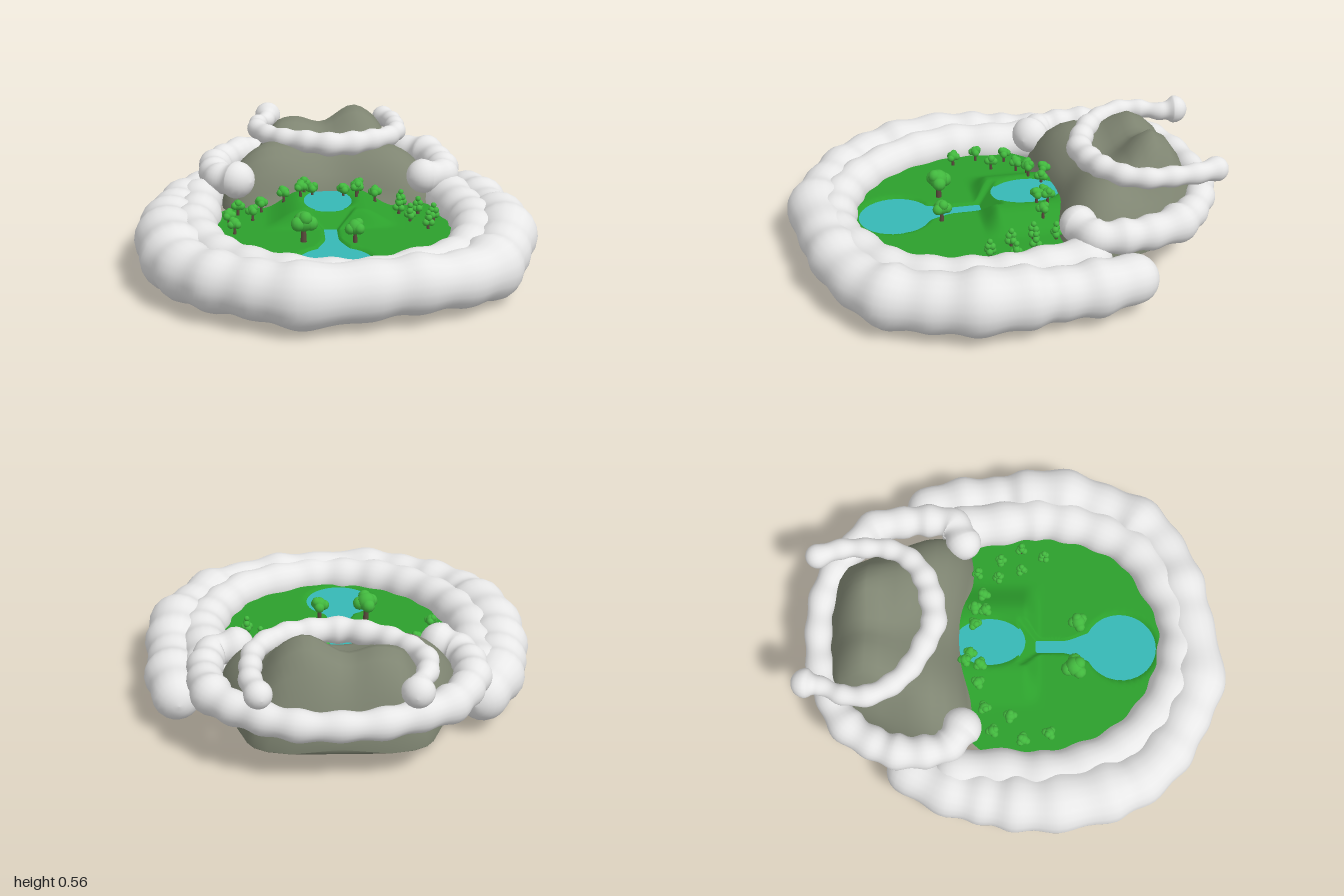
import * as THREE from 'three';

const material = (name, color, side = THREE.FrontSide) => {
  const m = new THREE.MeshStandardMaterial({ color, side });
  m.name = name;
  return m;
};
const smooth = THREE.MathUtils.smoothstep;

// Skin over a list of closed loops that all have the same number of points
function loft(loops) {
  const n = loops[0].length, index = [];
  for (let i = 0; i < loops.length - 1; i++) {
    for (let j = 0; j < n; j++) {
      const a = i * n + j, b = i * n + (j + 1) % n;
      index.push(a, b, a + n, b, b + n, a + n);
    }
  }
  const g = new THREE.BufferGeometry().setFromPoints(loops.flat());
  g.setIndex(index);
  g.computeVertexNormals();
  return g;
}

// Lumpy cloud: a tube that swells at each [x, y, z, radius] and has round ends
function cloudGeometry(knots, dip) {
  const path = new THREE.CatmullRomCurve3(knots.map(k => new THREE.Vector3(k[0], k[1], k[2])));
  const sizes = new THREE.CatmullRomCurve3(knots.map(k => new THREE.Vector3(k[3], 0, 0)), false, 'catmullrom');
  const spans = knots.length - 1, steps = spans * 8, up = new THREE.Vector3(0, 1, 0), loops = [];
  const ring = (t, squeeze, shift) => {
    const tangent = path.getTangent(t).setY(0).normalize();
    const side = up.clone().cross(tangent);
    const full = sizes.getPoint(t).x, r = full * squeeze;
    const c = path.getPoint(t).addScaledVector(tangent, shift * full);
    const loop = [];
    for (let j = 0; j < 20; j++) {
      const a = j / 20 * Math.PI * 2;
      loop.push(c.clone().addScaledVector(side, r * Math.cos(a)).addScaledVector(up, r * Math.sin(a)));
    }
    loops.push(loop);
  };
  for (let i = 0; i < 6; i++) ring(0, Math.sin(i * Math.PI / 12) + 1e-3, -Math.cos(i * Math.PI / 12));
  for (let i = 0; i <= steps; i++) ring(i / steps, 1 - dip * Math.sin(i / 8 * Math.PI) ** 2, 0);
  for (let i = 5; i >= 0; i--) ring(1, Math.sin(i * Math.PI / 12) + 1e-3, Math.cos(i * Math.PI / 12));
  return loft(loops);
}

// Ponds and ground height: a low meadow with a central rise that holds the upper pond
const LOW = 0.155, HIGH = 0.225;
const ellipse = (x, z, cx, cz, rx, rz) => (Math.hypot((x - cx) / rx, (z - cz) / rz) - 1) * Math.min(rx, rz);
function groundHeight(x, z) {
  const rise = (1 - smooth(Math.abs(x + 0.01), 0.14, 0.32)) * (1 - smooth(z, 0.04, 0.13));
  const ground = 0.165 + 0.07 * rise;
  const upper = ellipse(x, z, -0.02, -0.12, 0.115, 0.165);
  const pond = ellipse(x, z, -0.02, 0.505, 0.165, 0.17);
  const streamHalf = 0.03 + 0.05 * smooth(z, 0.22, 0.4);
  const stream = Math.max(Math.abs(x + 0.02) - streamHalf, 0.1 - z, z - 0.5);
  const lower = Math.min(pond, stream);
  return Math.min(ground, HIGH + Math.max(upper, -0.08) * 0.7, LOW + Math.max(lower, -0.09) * 0.9);
}

function terrainGeometry() {
  const g = new THREE.RingGeometry(0.001, 1, 120, 60).rotateX(-Math.PI / 2);
  const p = g.attributes.position;
  for (let i = 0; i < p.count; i++) {
    const x = p.getX(i) * 0.66, z = p.getZ(i) * 0.6 + 0.2;
    p.setXYZ(i, x, groundHeight(x, z), z);
  }
  g.computeVertexNormals();
  return g;
}

// Two-tiered mountain from cross-sections: [z, half width, height, upper-peak share]
function mountainGeometry() {
  const floor = 0.13, n = 36;
  const rows = [
    [-0.19, 0.38, 0.18, 0], [-0.21, 0.45, 0.25, 0], [-0.25, 0.50, 0.33, 0], [-0.31, 0.53, 0.385, 0],
    [-0.37, 0.535, 0.42, 0], [-0.43, 0.525, 0.435, 0], [-0.49, 0.505, 0.435, 0.1], [-0.55, 0.485, 0.46, 0.5],
    [-0.61, 0.46, 0.50, 0.9], [-0.67, 0.435, 0.52, 1], [-0.73, 0.41, 0.495, 0.9], [-0.79, 0.385, 0.44, 0.5],
    [-0.83, 0.355, 0.36, 0.2], [-0.86, 0.3, 0.28, 0], [-0.88, 0.2, 0.2, 0]
  ];
  const bump = (x, c, w) => Math.exp(-(((x - c) / w) ** 2));
  const loops = rows.map(([z, w, h, peak]) => {
    const loop = [];
    for (let j = 0; j <= n; j++) {
      const u = -Math.cos(j / n * Math.PI), x = u * w;
      const lowShape = 0.025 * bump(x, -0.33, 0.14) + 0.01 * bump(x, 0.36, 0.12) - 0.05 * bump(x, 0, 0.17);
      const highShape = 0.05 * bump(x, 0.15, 0.1) - 0.045 * bump(x, -0.03, 0.09) - 0.1 * smooth(Math.abs(x), 0.24, 0.38);
      const dome = Math.pow(Math.max(0, 1 - Math.abs(u) ** 3.5), 0.55);
      const amount = smooth(h, 0.2, 0.4);
      const y = floor + (h - floor + amount * (lowShape * (1 - peak) + highShape * peak)) * dome;
      const front = 0.06 * bump(x, 0, 0.25) * (1 - smooth(-z, 0.21, 0.45));
      loop.push(new THREE.Vector3(x, Math.max(y, floor + 0.002), z - front));
    }
    for (let j = n - 1; j > 0; j--) loop.push(new THREE.Vector3(-Math.cos(j / n * Math.PI) * w, floor, z));
    return loop;
  });
  // Close both ends
  const close = (loop, y) => loop.map(v => new THREE.Vector3(v.x * 0.02, y, v.z));
  return loft([close(loops[0], 0.15), ...loops, close(loops.at(-1), 0.15)]);
}

export function createModel() {
  const model = new THREE.Group();
  model.name = 'cloudIsland';
  const white = material('cloud white', 0xececec);
  const grass = material('grass green', 0x2ca02c, THREE.DoubleSide);
  const rock = material('mountain olive', 0x7f8572, THREE.DoubleSide);
  const water = material('water teal', 0x36b8b6, THREE.DoubleSide);
  const leaf = material('leaf green', 0x42b83e);
  const bark = material('bark brown', 0x5a4a3c);
  const add = (name, geometry, mat, parent = model) => {
    const m = new THREE.Mesh(geometry, mat);
    m.name = name;
    parent.add(m);
    return m;
  };

  // Land, water and mountain
  add('meadow', terrainGeometry(), grass);
  const pond = (name, z, y, rx, rz) => {
    const g = new THREE.CircleGeometry(1, 48).rotateX(-Math.PI / 2).scale(rx, 1, rz);
    add(name, g, water).position.set(-0.02, y, z);
  };
  pond('lowerPond', 0.43, LOW, 0.35, 0.35);
  pond('upperPond', -0.12, HIGH, 0.13, 0.17);
  add('mountain', mountainGeometry(), rock);

  // Main cloud ring, open at the back: a thick outer roll and a thinner inner roll
  add('outerCloud', cloudGeometry([
    [0.71, 0.155, -0.43, 0.11], [0.745, 0.155, -0.26, 0.13], [0.76, 0.155, -0.1, 0.12], [0.77, 0.165, 0.04, 0.14],
    [0.765, 0.165, 0.25, 0.15], [0.71, 0.15, 0.43, 0.135], [0.63, 0.15, 0.6, 0.145], [0.49, 0.15, 0.72, 0.125],
    [0.3, 0.165, 0.795, 0.13], [0.1, 0.155, 0.83, 0.13], [-0.18, 0.15, 0.855, 0.145], [-0.36, 0.155, 0.79, 0.13],
    [-0.52, 0.155, 0.7, 0.135], [-0.65, 0.15, 0.57, 0.135], [-0.71, 0.155, 0.42, 0.155], [-0.76, 0.16, 0.19, 0.152],
    [-0.76, 0.155, 0, 0.148], [-0.74, 0.155, -0.15, 0.135], [-0.71, 0.16, -0.3, 0.13], [-0.63, 0.165, -0.47, 0.115]
  ], 0.1), white);
  add('innerCloud', cloudGeometry([
    [0.59, 0.18, -0.25, 0.12], [0.62, 0.18, -0.06, 0.115], [0.645, 0.18, 0.1, 0.115], [0.625, 0.18, 0.26, 0.11],
    [0.57, 0.175, 0.43, 0.105], [0.47, 0.175, 0.59, 0.105], [0.3, 0.175, 0.7, 0.105], [0.12, 0.175, 0.775, 0.1],
    [-0.05, 0.175, 0.775, 0.1], [-0.22, 0.175, 0.735, 0.105], [-0.38, 0.175, 0.64, 0.105], [-0.51, 0.175, 0.5, 0.105],
    [-0.6, 0.18, 0.33, 0.11], [-0.65, 0.18, 0.13, 0.115], [-0.635, 0.18, -0.06, 0.11], [-0.64, 0.185, -0.27, 0.11]
  ], 0.1), white);

  // Cloud wrapped round the back of the mountain
  add('middleCloud', cloudGeometry([
    [0.46, 0.3, -0.25, 0.085], [0.56, 0.29, -0.3, 0.08], [0.58, 0.29, -0.42, 0.082], [0.57, 0.29, -0.54, 0.08],
    [0.53, 0.3, -0.68, 0.09], [0.43, 0.29, -0.78, 0.075], [0.31, 0.29, -0.86, 0.072], [0.17, 0.285, -0.91, 0.07],
    [0, 0.285, -0.92, 0.066], [-0.17, 0.285, -0.9, 0.07], [-0.32, 0.29, -0.84, 0.075], [-0.45, 0.29, -0.76, 0.085],
    [-0.53, 0.29, -0.64, 0.08], [-0.57, 0.29, -0.53, 0.085], [-0.57, 0.29, -0.4, 0.08], [-0.54, 0.29, -0.3, 0.08],
    [-0.46, 0.3, -0.24, 0.092]
  ], 0.15), white);

  // Cloud wrapped round the front of the summit
  add('summitCloud', cloudGeometry([
    [0.325, 0.435, -0.92, 0.058], [0.36, 0.44, -0.81, 0.05], [0.365, 0.44, -0.7, 0.05], [0.36, 0.44, -0.59, 0.05],
    [0.31, 0.44, -0.49, 0.053], [0.22, 0.44, -0.42, 0.058], [0.12, 0.435, -0.385, 0.062], [0, 0.435, -0.37, 0.062],
    [-0.11, 0.44, -0.41, 0.058], [-0.22, 0.44, -0.47, 0.055], [-0.3, 0.44, -0.55, 0.053], [-0.355, 0.445, -0.66, 0.052],
    [-0.35, 0.445, -0.77, 0.048], [-0.31, 0.44, -0.86, 0.045], [-0.3, 0.45, -0.93, 0.068]
  ], 0.15), white);

  // Trees: a trunk under a bunch of leafy balls; the slim ones stack theirs
  const ball = new THREE.SphereGeometry(1, 10, 8);
  const trunk = new THREE.CylinderGeometry(0.006, 0.009, 0.05, 7).translate(0, 0.02, 0);
  const round = [[0, 0.058, 0, 0.028], [0.018, 0.052, 0.008, 0.02], [-0.019, 0.055, 0.006, 0.02], [0.002, 0.052, -0.02, 0.02], [0, 0.07, 0.012, 0.019]];
  const slim = [[0.014, 0.03, 0.004, 0.018], [-0.013, 0.032, 0.009, 0.017], [0, 0.034, -0.016, 0.017], [0.008, 0.054, 0.007, 0.017], [-0.009, 0.058, -0.004, 0.016], [0, 0.08, 0, 0.014]];
  const plant = (name, x, z, scale, turn, balls) => {
    const tree = new THREE.Group();
    tree.name = name;
    tree.position.set(x, groundHeight(x, z), z);
    tree.rotation.y = turn;
    tree.scale.setScalar(scale);
    add('trunk', trunk, bark, tree);
    for (const [bx, by, bz, r] of balls) {
      const b = add('leaves', ball, leaf, tree);
      b.position.set(bx, by, bz);
      b.scale.setScalar(r);
    }
    model.add(tree);
  };
  const roundSpots = [[-0.13, -0.23], [-0.09, -0.21], [-0.15, -0.16], [-0.23, -0.17], [-0.34, -0.14], [-0.45, -0.1],
    [-0.38, -0.02], [-0.49, 0.04], [-0.46, 0.16], [0.06, -0.19], [0.12, -0.14], [0.13, -0.19], [0.21, -0.15]];
  const slimSpots = [[0.34, -0.18], [0.32, -0.08], [0.41, -0.07], [0.36, 0.03], [0.47, 0.03], [0.43, 0.14]];
  roundSpots.forEach(([x, z], i) => plant('roundTree', x, z, 0.9, i * 1.3, round));
  slimSpots.forEach(([x, z], i) => plant('slimTree', x, z, 0.95, i * 1.7, slim));
  plant('bigTree', -0.15, 0.28, 1.65, 0.4, round);
  plant('bigTree', 0.08, 0.3, 1.25, 2, round);
  return model;
}
